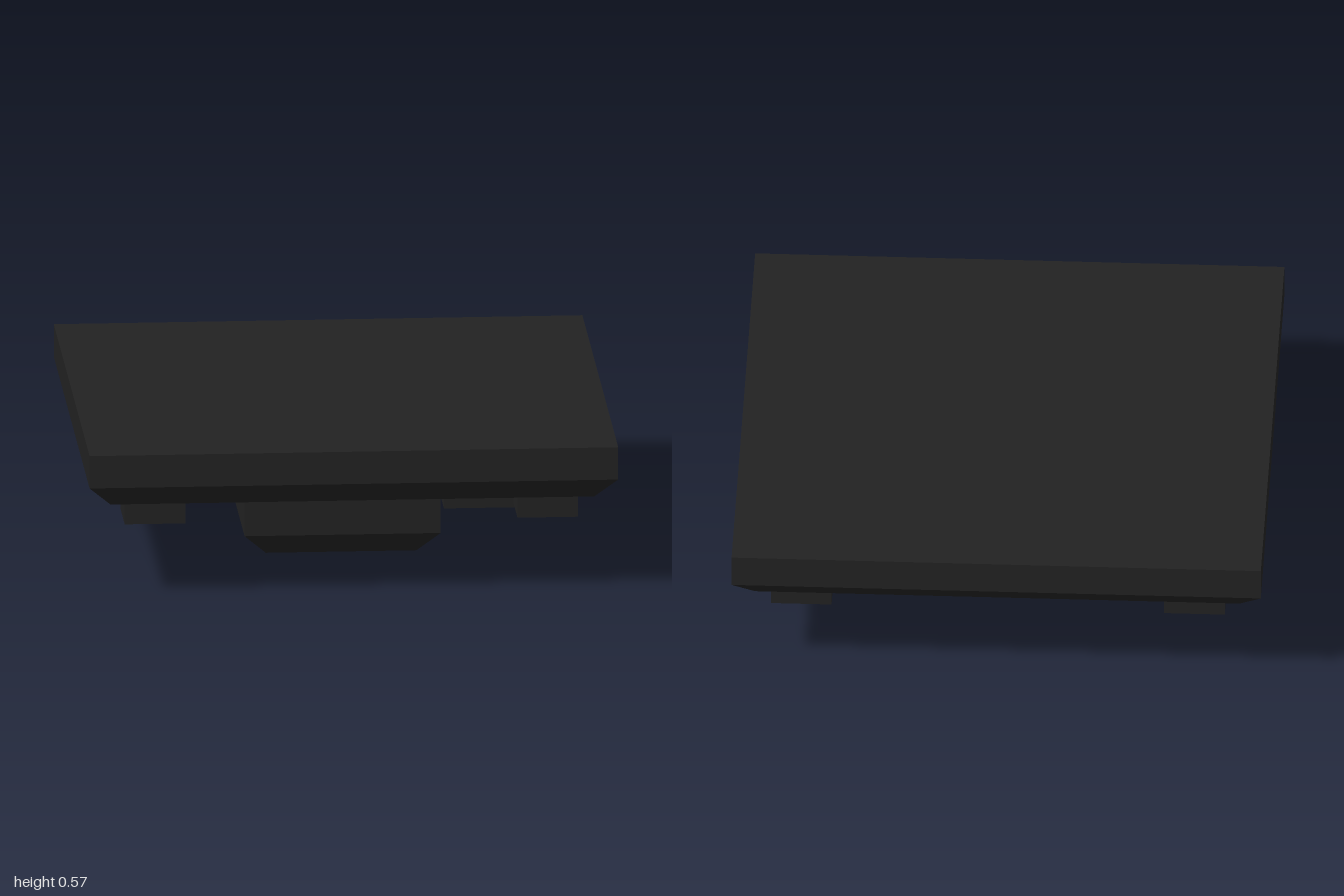
import * as THREE from 'three';

export function createModel() {
  const group = new THREE.Group();
  const black = new THREE.MeshStandardMaterial({ color: 0x222222 });
  black.name = 'matte black';

  // Box between two heights; its bottom face may be narrower than its top
  function block(name, width, depth, y0, y1, x = 0, z = 0, inset = 0) {
    const geo = new THREE.BoxGeometry(width, y1 - y0, depth);
    const p = geo.attributes.position;
    for (let i = 0; i < p.count; i++) {
      if (p.getY(i) < 0) {
        p.setX(i, p.getX(i) - Math.sign(p.getX(i)) * inset);
        p.setZ(i, p.getZ(i) - Math.sign(p.getZ(i)) * inset);
      }
    }
    geo.computeVertexNormals();
    const mesh = new THREE.Mesh(geo, black);
    mesh.name = name;
    mesh.position.set(x, (y0 + y1) / 2, z);
    group.add(mesh);
  }

  // Square top plate with a chamfered underside
  block('topPlate', 2, 2, 0.447, 0.573);
  block('plateChamfer', 2, 2, 0.361, 0.447, 0, 0, 0.085);

  // Central hub with a chamfered bottom
  block('hub', 0.742, 0.742, 0.088, 0.361);
  block('hubChamfer', 0.742, 0.742, 0, 0.088, 0, 0, 0.086);

  // Box beside the hub
  block('sideBox', 0.443, 0.5, 0.152, 0.361, 0.613, 0);

  // Corner feet
  for (const x of [-1, 1]) {
    for (const z of [-1, 1]) {
      block('foot', 0.229, 0.229, 0.268, 0.361, x * 0.743, z * 0.743);
    }
  }
  return group;
}
